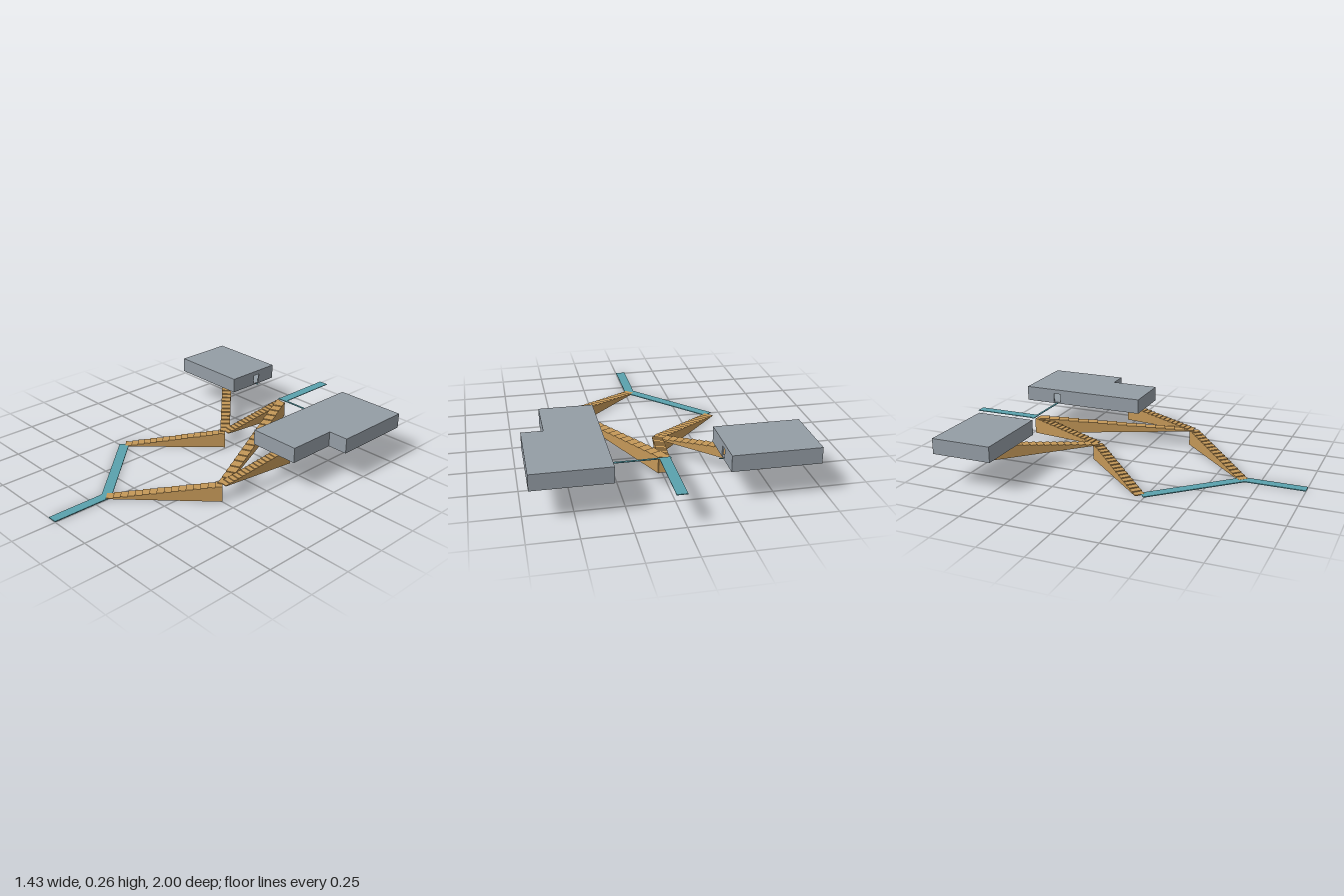
import * as THREE from 'three';

const wood = new THREE.MeshStandardMaterial({ color: 0xc49858 });
const teal = new THREE.MeshStandardMaterial({ color: 0x5aa2ad });
const grey = new THREE.MeshStandardMaterial({ color: 0x949da5 });
wood.name = 'wood';
teal.name = 'teal path';
grey.name = 'grey wall';

const WIDTH = 0.055, RISE = 0.088, STEPS = 16, ROOF = 0.262, WALL = 0.008;

export function createModel() {
  const model = new THREE.Group();
  model.name = 'stairMaze';

  const add = (parent, name, geometry, material) => {
    const mesh = new THREE.Mesh(geometry, material);
    mesh.name = name;
    parent.add(mesh);
    return mesh;
  };
  const block = (parent, name, x0, x1, y0, y1, z0, z1, material) =>
    add(parent, name, new THREE.BoxGeometry(x1 - x0, y1 - y0, z1 - z0), material)
      .position.set((x0 + x1) / 2, (y0 + y1) / 2, (z0 + z1) / 2);

  // Solid staircase with a flat underside, rising from a to b (each [x, z])
  const stairs = (name, a, b, y) => {
    const dx = b[0] - a[0], dz = b[1] - a[1], length = Math.hypot(dx, dz);
    const profile = new THREE.Shape();
    profile.moveTo(0, 0);
    for (let i = 0; i < STEPS; i++) {
      profile.lineTo(length * i / STEPS, RISE * (i + 1) / STEPS);
      profile.lineTo(length * (i + 1) / STEPS, RISE * (i + 1) / STEPS);
    }
    profile.lineTo(length, 0);
    const geometry = new THREE.ExtrudeGeometry(profile, { depth: WIDTH, bevelEnabled: false });
    geometry.translate(0, 0, -WIDTH / 2);
    const mesh = add(model, name, geometry, wood);
    mesh.position.set(a[0], y, a[1]);
    mesh.rotation.y = Math.atan2(-dz, dx);
  };

  // Lower flights, then the flights that branch from them
  stairs('lowerRightStairs', [-0.03, 0.66], [0.4, 0.23], 0);
  stairs('lowerLeftStairs', [-0.43, 0.22], [-0.03, -0.2], 0);
  stairs('leftRoomStairs', [-0.03, -0.2], [-0.485, -0.655], RISE);
  stairs('shortBackStairs', [-0.025, -0.2], [0.028, -0.61], RISE);
  stairs('longBackStairs', [0.4, 0.23], [0.032, -0.6], RISE);
  stairs('rightRoomStairs', [0.4, 0.23], [0.455, -0.2], RISE);

  // Flat paths
  const top = 2 * RISE;
  block(model, 'frontPath', -0.057, -0.002, 0, 0.005, 0.65, 1, teal);
  block(model, 'backPath', 0, 0.055, top, top + 0.004, -1, -0.62, teal);
  block(model, 'rightDoorPath', -0.005, 0.34, top, top + 0.004, -0.633, -0.621, teal);
  block(model, 'leftDoorPath', -0.48, -0.235, top, top + 0.003, -0.688, -0.682, teal);
  const diagonal = add(model, 'diagonalPath',
    new THREE.BoxGeometry(Math.hypot(0.4, 0.43), 0.005, WIDTH), teal);
  diagonal.position.set(-0.23, 0.0025, 0.445);
  diagonal.rotation.y = Math.atan2(-0.43, 0.4);

  // Hollow room from an outline of [x, z] corners; the floor is open above the stairs
  const room = (name, corners, floor, door) => {
    const group = new THREE.Group();
    group.name = name;
    model.add(group);
    const slab = (part, points, y) => {
      const shape = new THREE.Shape(points.map(([x, z]) => new THREE.Vector2(x, -z)));
      const geometry = new THREE.ExtrudeGeometry(shape, { depth: WALL, bevelEnabled: false });
      geometry.rotateX(-Math.PI / 2);
      geometry.translate(0, y, 0);
      add(group, part, geometry, grey);
    };
    slab('roof', corners, ROOF - WALL);
    slab('floor', floor, top);
    corners.forEach((p, i) => {
      const q = corners[(i + 1) % corners.length];
      const dx = q[0] - p[0], dz = q[1] - p[1], length = Math.hypot(dx, dz);
      const height = ROOF - top - WALL;
      const panel = new THREE.Shape([[0, 0], [length, 0], [length, height], [0, height]]
        .map(([u, v]) => new THREE.Vector2(u, v)));
      // Doorway cut in the wall facing the paths
      if (i === door.wall) {
        const u = Math.abs(door.z - p[1]), w = 0.022, h = 0.06;
        panel.holes.push(new THREE.Path([[u - w, 0.0005], [u - w, h], [u + w, h], [u + w, 0.0005]]
          .map(([a, b]) => new THREE.Vector2(a, b))));
      }
      const geometry = new THREE.ExtrudeGeometry(panel, { depth: WALL, bevelEnabled: false });
      geometry.translate(0, 0, -WALL);
      const mesh = add(group, 'wall', geometry, grey);
      mesh.position.set(p[0], top, p[1]);
      mesh.rotation.y = Math.atan2(-dz, dx);
    });
  };

  // Corners run so that each wall faces outward
  room('leftRoom',
    [[-0.715, -0.49], [-0.255, -0.49], [-0.255, -0.83], [-0.715, -0.83]],
    [[-0.715, -0.49], [-0.5, -0.49], [-0.5, -0.66], [-0.255, -0.66], [-0.255, -0.83], [-0.715, -0.83]],
    { wall: 1, z: -0.685 });
  room('rightRoom',
    [[0.31, -0.09], [0.6, -0.09], [0.6, -0.37], [0.715, -0.37], [0.715, -0.83], [0.31, -0.83]],
    [[0.31, -0.58], [0.5, -0.58], [0.5, -0.37], [0.715, -0.37], [0.715, -0.83], [0.31, -0.83]],
    { wall: 5, z: -0.627 });

  return model;
}
